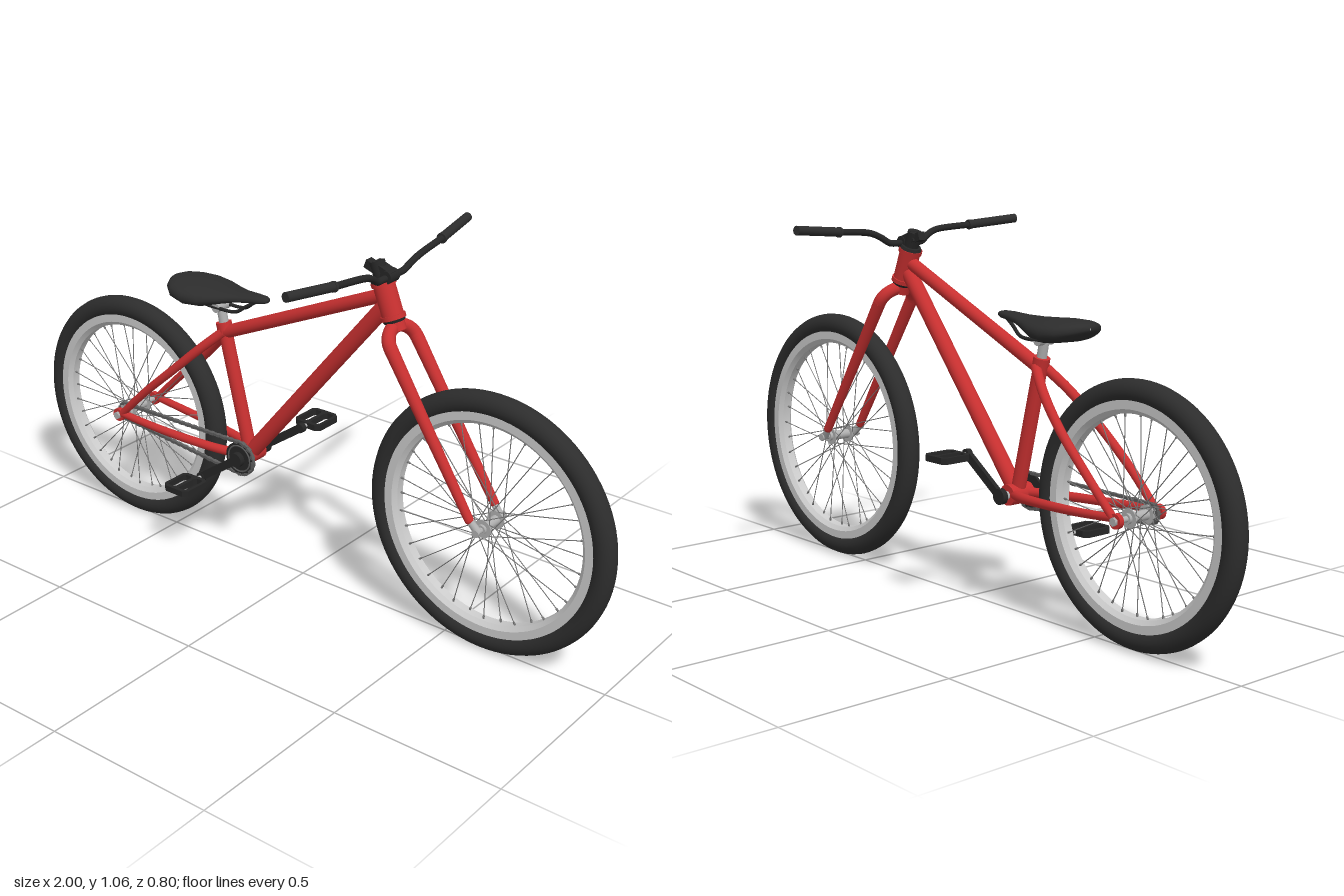
import * as THREE from 'three';
import { mergeGeometries, toCreasedNormals } from 'three/addons/utils/BufferGeometryUtils.js';

const mat = (name, color) => Object.assign(new THREE.MeshStandardMaterial({ color }), { name });
const red = mat('frameRed', 0xc83030);
const rubber = mat('tyreRubber', 0x2d2d2d);
const black = mat('partBlack', 0x262626);
const rimGrey = mat('rimGrey', 0xcccccc);
const metal = mat('metalGrey', 0xb0b0b0);
const spokeGrey = mat('spokeGrey', 0x7c7c7c);
const chainGrey = mat('chainGrey', 0x5c5c5c);

const V = (x, y, z = 0) => new THREE.Vector3(x, y, z);
const UP = V(0, 1, 0);

// Straight round bar between two points, optionally tapered
function rodGeo(a, b, r0, r1 = r0, sides = 20) {
  const d = b.clone().sub(a);
  const g = new THREE.CylinderGeometry(r1, r0, d.length(), sides);
  g.applyQuaternion(new THREE.Quaternion().setFromUnitVectors(UP, d.normalize()));
  const m = a.clone().add(b).multiplyScalar(0.5);
  return g.translate(m.x, m.y, m.z);
}

// Curved tube whose radius runs from r0 to r1
function tubeGeo(points, r0, r1 = r0, segs = 40, sides = 14) {
  const g = new THREE.TubeGeometry(new THREE.CatmullRomCurve3(points), segs, r0, sides);
  const p = g.attributes.position, n = g.attributes.normal;
  for (let i = 0; i < p.count; i++) {
    const k = (r1 - r0) * Math.floor(i / (sides + 1)) / segs;
    p.setXYZ(i, p.getX(i) + n.getX(i) * k, p.getY(i) + n.getY(i) * k, p.getZ(i) + n.getZ(i) * k);
  }
  return g;
}

const BB = V(-0.195, 0.334), REAR = V(-0.648, 0.354), FRONT = V(0.625, 0.375);
const HEAD_TOP = V(0.265, 0.972), HEAD_LOW = V(0.303, 0.875), SEAT = V(-0.287, 0.71);

export function createModel() {
  const root = new THREE.Group();
  const add = (name, geo, m, parent = root) => {
    const mesh = new THREE.Mesh(geo, m);
    mesh.name = name;
    parent.add(mesh);
    return mesh;
  };

  // Wheels: tyre, rim, crossed spokes, hub
  function wheel(name, c, R, hubHalf) {
    const w = new THREE.Group();
    w.name = name;
    w.position.copy(c);
    root.add(w);
    add('tyre', new THREE.TorusGeometry(R - 0.032, 0.032, 20, 96), rubber, w);
    const prof = [[-0.013, 0.088], [-0.024, 0.076], [-0.024, 0.052], [0.024, 0.052], [0.024, 0.076], [0.013, 0.088], [-0.013, 0.088]]
      .map(([z, d]) => new THREE.Vector2(R - d, z));
    add('rim', toCreasedNormals(new THREE.LatheGeometry(prof, 96).rotateX(Math.PI / 2), 0.5), rimGrey, w);
    const spokes = [], nipples = [], count = 36;
    for (let i = 0; i < count; i++) {
      const side = i % 2 ? 1 : -1, cross = (i >> 1) % 2 ? 1.2 : -1.2;
      const a = (i / count) * Math.PI * 2, h = a + cross;
      const rim = V(Math.cos(a) * (R - 0.086), Math.sin(a) * (R - 0.086), side * 0.004);
      const hub = V(Math.cos(h) * 0.022, Math.sin(h) * 0.022, side * 0.032);
      spokes.push(rodGeo(hub, rim, 0.0014, 0.0014, 5));
      nipples.push(rodGeo(rim, rim.clone().lerp(hub, 0.04), 0.003, 0.003, 6));
    }
    add('spokes', mergeGeometries(spokes), spokeGrey, w);
    add('nipples', mergeGeometries(nipples), spokeGrey, w);
    const hub = [rodGeo(V(0, 0, -hubHalf), V(0, 0, hubHalf), 0.008), rodGeo(V(0, 0, -0.042), V(0, 0, 0.042), 0.014)];
    for (const s of [-1, 1]) {
      hub.push(rodGeo(V(0, 0, s * 0.03), V(0, 0, s * 0.034), 0.026));
      hub.push(rodGeo(V(0, 0, s * (hubHalf - 0.008)), V(0, 0, s * hubHalf), 0.012, 0.012, 6));
    }
    add('hub', mergeGeometries(hub), metal, w);
  }
  wheel('rearWheel', REAR, 0.352, 0.092);
  wheel('frontWheel', FRONT, 0.375, 0.07);

  // Main frame tubes
  add('seatTube', rodGeo(BB, SEAT, 0.02), red);
  add('topTube', rodGeo(V(-0.283, 0.69), V(0.272, 0.935), 0.019), red);
  add('downTube', rodGeo(BB, V(0.282, 0.912), 0.023), red);
  add('headTube', rodGeo(HEAD_TOP, HEAD_LOW, 0.03, 0.03, 28), red);
  add('bottomBracketShell', rodGeo(V(BB.x, BB.y, -0.038), V(BB.x, BB.y, 0.038), 0.029), red);
  const axis = HEAD_LOW.clone().sub(HEAD_TOP).normalize();
  for (const [name, p, s] of [['upperHeadset', HEAD_TOP, -1], ['lowerHeadset', HEAD_LOW, 1]]) {
    add(name + 'Ring', rodGeo(p.clone().addScaledVector(axis, -s * 0.012), p, 0.034), red);
    add(name, rodGeo(p, p.clone().addScaledVector(axis, s * 0.008), 0.032, 0.028), black);
  }

  // Rear stays with rounded dropouts
  for (const s of [-1, 1]) {
    const end = V(REAR.x + 0.012, REAR.y + 0.006, s * 0.077);
    add('seatStay', tubeGeo([V(-0.28, 0.695, s * 0.014), V(-0.345, 0.635, s * 0.046), V(-0.43, 0.555, s * 0.068),
      V(-0.54, 0.455, s * 0.078), end], 0.014, 0.011), red);
    add('chainStay', tubeGeo([V(-0.2, 0.336, s * 0.02), V(-0.26, 0.338, s * 0.042), V(-0.36, 0.343, s * 0.06),
      V(-0.5, 0.35, s * 0.072), end], 0.014, 0.011), red);
    add('rearDropout', rodGeo(V(REAR.x, REAR.y, s * 0.07), V(REAR.x, REAR.y, s * 0.084), 0.02), red);
  }

  // Fork: arched crown running into two tapered legs
  const legTop = V(0.338, 0.815), legEnd = V(0.6, 0.405);
  const arch = [];
  for (let i = 0; i <= 12; i++) {
    const t = (i / 12) * Math.PI, k = Math.sin(t);
    arch.push(V(legTop.x - 0.028 * k, legTop.y + 0.042 * k, Math.cos(t) * 0.059));
  }
  add('forkCrown', tubeGeo(arch, 0.0185, 0.0185, 36, 16), red);
  add('steererBase', rodGeo(HEAD_LOW, V(0.315, 0.845), 0.026), red);
  for (const s of [-1, 1]) {
    const a = V(legTop.x, legTop.y, s * 0.059), b = V(legEnd.x, legEnd.y, s * 0.061);
    add('forkLeg', rodGeo(a, b, 0.0185, 0.0125), red);
    add('forkLegTop', new THREE.SphereGeometry(0.0185, 16, 12).translate(a.x, a.y, a.z), red);
    add('forkLegTip', new THREE.SphereGeometry(0.0125, 16, 12).translate(b.x, b.y, b.z), red);
    add('forkDropout', rodGeo(b, V(FRONT.x, FRONT.y, s * 0.055), 0.01, 0.011), metal);
  }

  // Stem and handlebar with grips
  add('stemClamp', rodGeo(V(0.262, 0.98), V(0.245, 1.022), 0.021), black);
  add('stem', new THREE.BoxGeometry(0.06, 0.03, 0.034).rotateZ(-0.35).translate(0.266, 1.0, 0), black);
  add('stemFaceplate', rodGeo(V(0.287, 0.99, -0.02), V(0.287, 0.99, 0.02), 0.018), black);
  add('stemTailBolts', new THREE.BoxGeometry(0.022, 0.024, 0.024).rotateZ(-0.35).translate(0.225, 1.008, 0), black);
  const half = [V(0.287, 0.988, 0.035), V(0.289, 0.99, 0.058), V(0.295, 1.008, 0.088), V(0.298, 1.02, 0.12), V(0.286, 1.03, 0.245)];
  const mirrored = half.map(p => V(p.x, p.y, -p.z)).reverse();
  add('handlebar', tubeGeo([...mirrored, ...half], 0.0095, 0.0095, 90, 14), black);
  for (const s of [-1, 1]) {
    add('grip', rodGeo(V(0.286, 1.03, s * 0.24), V(0.262, 1.043, s * 0.398), 0.013), rubber);
    add('gripCollar', rodGeo(V(0.287, 1.029, s * 0.234), V(0.286, 1.03, s * 0.242), 0.0145), rubber);
  }

  // Seat post, clamp and rails
  add('seatPost', rodGeo(V(-0.28, 0.68), V(-0.297, 0.765), 0.014), metal);
  add('seatCollar', rodGeo(V(-0.284, 0.7), V(-0.289, 0.72), 0.023), red);
  add('seatClamp', rodGeo(V(-0.297, 0.768, -0.026), V(-0.297, 0.768, 0.026), 0.015), metal);
  for (const s of [-1, 1])
    add('saddleRail', tubeGeo([V(-0.41, 0.8, s * 0.03), V(-0.36, 0.775, s * 0.025), V(-0.29, 0.768, s * 0.022),
      V(-0.225, 0.772, s * 0.02), V(-0.19, 0.795, s * 0.014), V(-0.15, 0.82, s * 0.008)], 0.005), black);

  // Saddle lofted along x: position, half width, top, bottom
  const stations = [[-0.47, 0.001, 0.815, 0.81], [-0.466, 0.03, 0.825, 0.802], [-0.45, 0.058, 0.83, 0.79],
    [-0.42, 0.082, 0.832, 0.776], [-0.37, 0.093, 0.832, 0.768], [-0.32, 0.084, 0.829, 0.772], [-0.27, 0.06, 0.827, 0.787],
    [-0.22, 0.037, 0.828, 0.8], [-0.17, 0.025, 0.832, 0.807], [-0.14, 0.02, 0.832, 0.811], [-0.126, 0.012, 0.829, 0.815], [-0.122, 0.001, 0.823, 0.821]];
  const N = 28, pos = [], idx = [];
  stations.forEach(([x, w, top, bottom], i) => {
    const mid = bottom + (top - bottom) * 0.45;
    for (let j = 0; j < N; j++) {
      const t = (j / N) * Math.PI * 2, s = Math.sin(t);
      pos.push(x, mid + (s > 0 ? top - mid : mid - bottom) * Math.sign(s) * Math.abs(s) ** 0.8, w * Math.cos(t));
      if (i < stations.length - 1) {
        const a = i * N + j, d = i * N + (j + 1) % N;
        idx.push(a, a + N, d, a + N, d + N, d);
      }
    }
  });
  const saddle = new THREE.BufferGeometry();
  saddle.setAttribute('position', new THREE.Float32BufferAttribute(pos, 3));
  saddle.setIndex(idx);
  saddle.computeVertexNormals();
  add('saddle', saddle, rubber);

  // Chainring, sprocket and chain links along the belt line
  const ringR = 0.05, cogR = 0.025, zc = 0.048;
  add('chainring', rodGeo(V(BB.x, BB.y, zc - 0.004), V(BB.x, BB.y, zc + 0.004), ringR - 0.001, ringR - 0.001, 40), black);
  add('chainringTrim', new THREE.TorusGeometry(0.04, 0.0025, 6, 40).translate(BB.x, BB.y, zc + 0.004), chainGrey);
  add('sprocket', rodGeo(V(REAR.x, REAR.y, zc - 0.004), V(REAR.x, REAR.y, zc + 0.004), cogR - 0.001, cogR - 0.001, 24), metal);
  const belt = new THREE.CurvePath();
  const at = (c, r, a) => V(c.x + r * Math.cos(a), c.y + r * Math.sin(a), zc);
  const loop = [];
  for (let i = 0; i <= 12; i++) loop.push(at(BB, ringR, Math.PI * (i / 12 - 0.5)));
  for (let i = 0; i <= 8; i++) loop.push(at(REAR, cogR, Math.PI * (i / 8 + 0.5)));
  loop.push(loop[0].clone());
  for (let i = 0; i < loop.length - 1; i++) belt.add(new THREE.LineCurve3(loop[i], loop[i + 1]));
  const links = [], count = 96;
  for (let i = 0; i < count; i++) {
    const p = belt.getPointAt(i / count), d = belt.getTangentAt(i / count);
    links.push(new THREE.BoxGeometry(0.0125, 0.008, i % 2 ? 0.008 : 0.012).rotateZ(Math.atan2(d.y, d.x)).translate(p.x, p.y, p.z));
  }
  add('chain', mergeGeometries(links), chainGrey);

  // Cranks and two-window platform pedals
  add('crankAxle', rodGeo(V(BB.x, BB.y, -0.064), V(BB.x, BB.y, 0.064), 0.012), metal);
  const rect = (P, x, y, w, h) => new P().setFromPoints([[0.15, 0], [0.85, 0], [1, 0.12], [1, 0.88], [0.85, 1], [0.15, 1], [0, 0.88], [0, 0.12]]
    .map(([u, v]) => new THREE.Vector2(x + u * w, y + v * h)));
  for (const s of [-1, 1]) {
    const side = new THREE.Group();
    side.name = s > 0 ? 'leftCrankSet' : 'rightCrankSet';
    root.add(side);
    const e = V(BB.x - s * 0.138, BB.y - s * 0.097, s * 0.062), c = V(BB.x, BB.y, s * 0.062);
    const ang = Math.atan2(e.y - c.y, e.x - c.x);
    add('crankArm', new THREE.BoxGeometry(0.169, 0.024, 0.013).rotateZ(ang).translate((c.x + e.x) / 2, (c.y + e.y) / 2, c.z), black, side);
    for (const [p, r] of [[c, 0.022], [e, 0.014]])
      add('crankBoss', rodGeo(V(p.x, p.y, p.z - 0.008), V(p.x, p.y, p.z + 0.008), r), black, side);
    add('pedalSpindle', rodGeo(e, V(e.x, e.y, s * 0.175), 0.006), metal, side);
    const shape = rect(THREE.Shape, -0.046, -0.05, 0.092, 0.1);
    for (const x of [-0.036, 0.006]) shape.holes.push(rect(THREE.Path, x, -0.038, 0.03, 0.076));
    const pedal = new THREE.ExtrudeGeometry(shape, { depth: 0.018, bevelEnabled: false });
    add('pedal', pedal.rotateX(-Math.PI / 2).translate(e.x, e.y - 0.009, s * 0.134), black, side);
  }
  return root;
}
